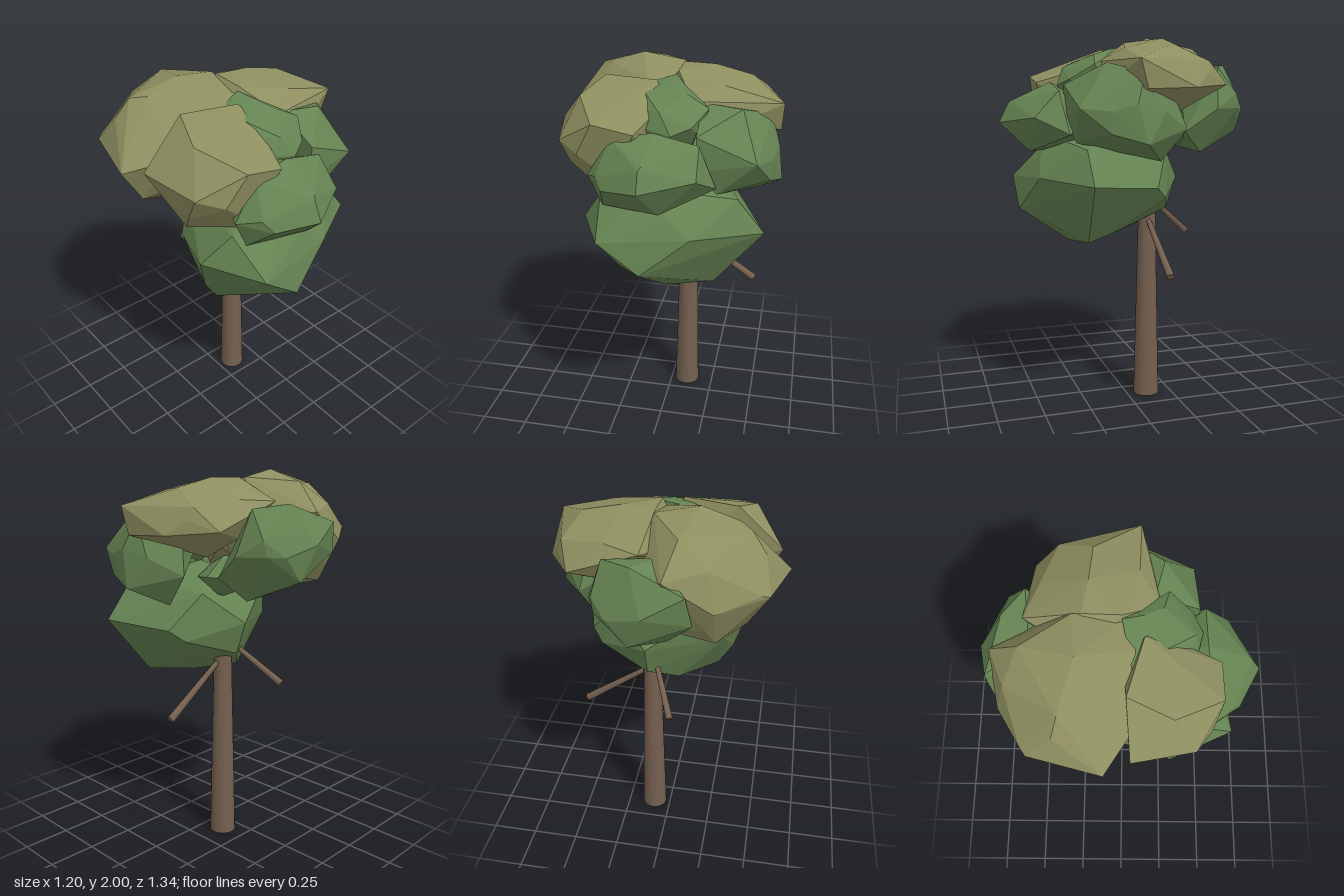
import * as THREE from 'three';
import { ConvexGeometry } from 'three/addons/geometries/ConvexGeometry.js';

const mat = (name, color) => {
  const m = new THREE.MeshStandardMaterial({ color, flatShading: name !== 'bark' });
  m.name = name;
  return m;
};
const bark = mat('bark', 0x745f4f);
const green = mat('leaf green', 0x658352);
const olive = mat('olive leaf', 0x8e8f60);
const V = (p) => new THREE.Vector3(...p);

// Faceted foliage clump: hull of its outer corners around a low-poly core
function clump(name, material, corners) {
  const points = corners.map(V);
  const box = new THREE.Box3().setFromPoints(points);
  const centre = box.getCenter(new THREE.Vector3());
  const half = box.getSize(new THREE.Vector3()).multiplyScalar(0.45);
  const core = new THREE.IcosahedronGeometry(1, 0).attributes.position;
  for (let i = 0; i < core.count; i++) {
    points.push(new THREE.Vector3().fromBufferAttribute(core, i).multiply(half).add(centre));
  }
  const mesh = new THREE.Mesh(new ConvexGeometry(points), material);
  mesh.name = name;
  return mesh;
}

// Tapered round limb between two points
function limb(name, from, to, r0, r1, sides) {
  const a = V(from), b = V(to), dir = b.clone().sub(a);
  const mesh = new THREE.Mesh(new THREE.CylinderGeometry(r1, r0, dir.length(), sides), bark);
  mesh.position.copy(a).add(b).multiplyScalar(0.5);
  mesh.quaternion.setFromUnitVectors(new THREE.Vector3(0, 1, 0), dir.normalize());
  mesh.name = name;
  return mesh;
}

export function createModel() {
  const tree = new THREE.Group();
  tree.name = 'tree';

  // Trunk and two drooping branches
  tree.add(
    limb('trunk', [0.095, 0, -0.113], [0.095, 1.15, -0.113], 0.071, 0.045, 24),
    limb('sideBranch', [0.1, 1.02, -0.11], [0.475, 0.757, -0.11], 0.013, 0.021, 10),
    limb('backBranch', [0.09, 1.14, -0.11], [-0.05, 0.9, -0.4], 0.012, 0.019, 10),
  );

  // Green foliage
  tree.add(
    clump('lowerFoliage', green, [
      [0.54, 1.23, 0.3], [-0.4, 1.23, 0.25], [-0.04, 1.07, 0.57], [-0.25, 1.23, 0.57],
      [0.2, 1.25, 0.5], [-0.24, 0.9, 0.17], [0.05, 0.9, 0.32], [0.29, 0.92, 0.27],
      [0.05, 0.89, 0.16], [-0.05, 0.95, -0.08], [0.1, 1.23, -0.28], [0.37, 1.15, -0.12],
      [-0.28, 1.4, 0.35], [0.4, 1.4, 0.3], [0, 1.46, 0.4], [0.05, 1.52, 0.1],
      [-0.32, 1.02, 0.18], [0.1, 1.06, -0.22], [0.28, 1.39, -0.15], [-0.18, 1.39, -0.15],
    ]),
    clump('frontFoliage', green, [
      [-0.02, 1.53, 0.67], [-0.21, 1.5, 0.57], [-0.32, 1.52, 0.42], [-0.02, 1.63, 0.62],
      [0.2, 1.53, 0.5], [0.3, 1.47, 0.36], [-0.25, 1.37, 0.42], [0.05, 1.38, 0.52],
      [0.22, 1.69, 0.4], [-0.2, 1.71, 0.42], [0, 1.74, 0.4], [0, 1.42, 0.12],
    ]),
    clump('leftFoliage', green, [
      [0.6, 1.43, 0.05], [0.58, 1.62, 0.1], [0.55, 1.48, 0.22], [0.49, 1.6, 0.36],
      [0.2, 1.55, 0.37], [0.2, 1.72, 0.37], [0.4, 1.82, 0.2], [0.2, 1.83, 0.15],
      [0.53, 1.77, 0.05], [0.43, 1.34, -0.07], [0.45, 1.5, -0.2], [0.3, 1.43, 0.33],
    ]),
    clump('backFoliage', green, [
      [0.03, 1.65, -0.67], [-0.16, 1.75, -0.62], [0.2, 1.6, -0.62], [0.28, 1.68, -0.55],
      [0.33, 1.6, -0.42], [0.1, 1.84, -0.55], [0.25, 1.82, -0.45], [0, 1.83, -0.42],
      [0.1, 1.48, -0.63], [0.2, 1.37, -0.38], [0, 1.4, -0.3], [-0.19, 1.6, -0.6],
      [0.28, 1.48, -0.26],
    ]),
    clump('topFoliage', green, [
      [-0.2, 1.82, 0.17], [-0.2, 1.87, 0.05], [0.04, 1.93, 0], [0.07, 1.91, 0.1],
      [0.24, 1.82, 0.22], [0.17, 1.75, 0.33], [0.08, 1.72, 0.38], [-0.04, 1.74, 0.35],
      [0, 1.5, 0.15], [-0.13, 1.89, 0.1],
    ]),
    clump('innerFoliage', green, [
      [0.3, 1.48, -0.2], [-0.08, 1.45, -0.2], [0.15, 1.36, -0.15], [0.18, 1.58, -0.2],
      [0.2, 1.48, -0.34], [0.15, 1.45, 0],
    ]),
  );

  // Olive foliage
  tree.add(
    clump('rightBackCrown', olive, [
      [-0.6, 1.66, -0.08], [-0.48, 1.7, -0.45], [-0.28, 1.65, -0.57], [-0.05, 1.8, -0.6],
      [-0.17, 2, -0.2], [-0.35, 1.94, -0.2], [0.05, 1.96, -0.22], [-0.1, 1.94, -0.45],
      [-0.48, 1.83, -0.3], [-0.41, 1.72, 0.05], [-0.1, 1.9, 0.06], [0.06, 1.9, 0.02],
      [0.12, 1.75, -0.38], [-0.48, 1.47, -0.1], [-0.3, 1.37, -0.2], [-0.28, 1.43, -0.45],
      [-0.03, 1.48, -0.45], [-0.03, 1.42, -0.1],
    ]),
    clump('rightFrontCrown', olive, [
      [-0.55, 1.7, 0.04], [-0.48, 1.65, 0.26], [-0.37, 1.62, 0.42], [-0.08, 1.74, 0.46],
      [-0.28, 1.78, 0.46], [-0.33, 1.84, 0.27], [-0.32, 1.92, 0.02], [-0.04, 1.92, 0.1],
      [0.02, 1.83, 0.17], [-0.4, 1.4, 0.15], [-0.2, 1.42, 0.35], [-0.46, 1.52, 0.25],
      [0, 1.6, 0],
    ]),
    clump('leftCrown', olive, [
      [0.08, 1.85, -0.45], [0.43, 1.72, -0.42], [0.57, 1.7, -0.2], [0.59, 1.83, 0.09],
      [0.58, 1.69, 0.05], [0.4, 1.75, 0.15], [0.15, 1.84, 0.18], [0.05, 1.95, 0],
      [0.05, 1.96, -0.18], [0.22, 1.96, -0.15], [0.48, 1.83, -0.3], [0.3, 1.58, -0.2],
      [0.3, 1.9, 0.08], [-0.08, 1.78, -0.15],
    ]),
  );
  return tree;
}
